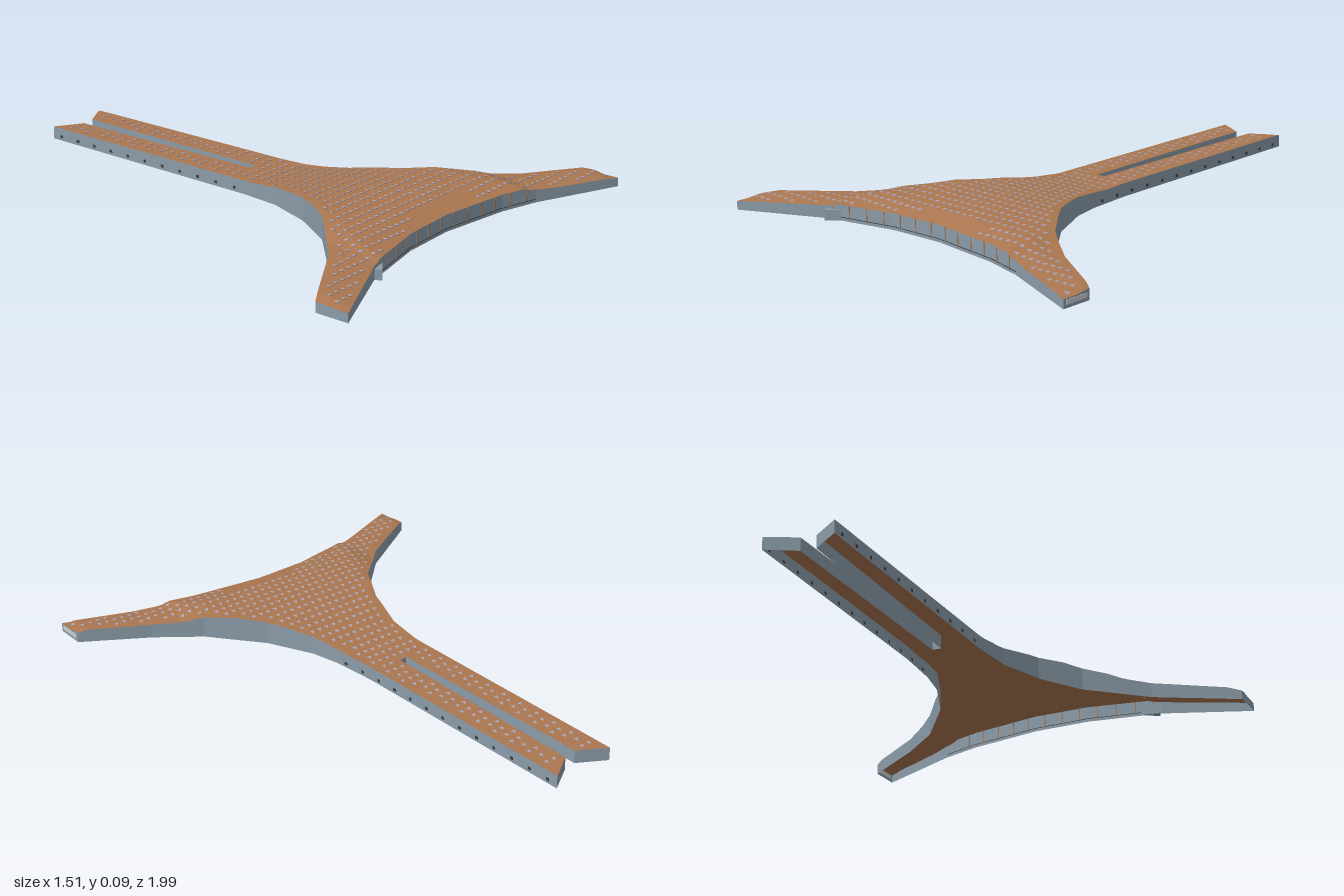
import * as THREE from 'three';
import { mergeGeometries, mergeVertices } from 'three/addons/utils/BufferGeometryUtils.js';

// Plan outline as x, z pairs, clockwise seen from above
const OUTLINE = [
  [-0.34, -0.95], [-0.235, -0.905], [-0.13, -0.10], [-0.10, -0.11], [-0.185, -0.92], [-0.095, -0.995],
  [0.013, -0.10], [0.045, 0.065], [0.08, 0.17], [0.175, 0.325], [0.34, 0.49], [0.50, 0.585],
  [0.74, 0.695], [0.75, 0.805], [0.42, 0.715], [0.27, 0.695], [0, 0.695], [-0.205, 0.73],
  [-0.405, 0.80], [-0.46, 0.82], [-0.745, 0.995], [-0.76, 0.875], [-0.505, 0.67], [-0.34, 0.47],
  [-0.265, 0.30], [-0.23, 0.13], [-0.235, -0.02],
];
const FRONT_FIRST = 13, FRONT_LAST = 20;
const FACADE_EDGES = [14, 15, 16, 17, 18];
const PIER_EDGES = [5, 6, 26];
const END_CAP_EDGE = 12;

// Roof height rules: along z, along x, and the falling front eave
const CREST = [[-1, 0.044], [-0.96, 0.046], [0, 0.049], [0.1, 0.058], [0.25, 0.077], [0.4, 0.087], [0.5, 0.086], [0.6, 0.08], [0.7, 0.071], [1, 0.06]];
const SPAN = [[-0.76, 0.034], [-0.72, 0.045], [-0.5, 0.055], [-0.44, 0.06], [-0.4, 0.073], [-0.3, 0.088],
  [0.25, 0.088], [0.35, 0.075], [0.4, 0.06], [0.5, 0.051], [0.71, 0.047], [0.75, 0.034]];
const EAVE = OUTLINE.slice(FRONT_FIRST, FRONT_LAST + 1).reverse();

function sample(table, t) {
  if (t <= table[0][0]) return table[0][1];
  for (let i = 1; i < table.length; i++) {
    const [a, u] = table[i - 1], [b, v] = table[i];
    if (t <= b) return u + (v - u) * (t - a) / (b - a);
  }
  return table[table.length - 1][1];
}

function roofHeight(x, z) {
  const inset = THREE.MathUtils.clamp((sample(EAVE, x) - z) / 0.09, 0, 1);
  return Math.max(0.031, Math.min(sample(CREST, z), sample(SPAN, x)) - 0.012 * (1 - inset));
}

function fromPositions(list) {
  const g = new THREE.BufferGeometry();
  g.setAttribute('position', new THREE.Float32BufferAttribute(list, 3));
  return g;
}

function flatFromPositions(list) {
  const g = fromPositions(list);
  g.computeVertexNormals();
  return g;
}

// Roof sheet: triangulated plan, subdivided and lifted by the height rule
function roofGeometry() {
  const pts = OUTLINE.map(([x, z]) => new THREE.Vector2(x, z));
  const out = [];
  const split = (a, b, c, n) => {
    if (n === 0) {
      for (const p of [a, b, c]) out.push(p.x, roofHeight(p.x, p.y), p.y);
      return;
    }
    const mid = (p, q) => p.clone().add(q).multiplyScalar(0.5);
    const ab = mid(a, b), bc = mid(b, c), ca = mid(c, a);
    split(a, ab, ca, n - 1);
    split(ab, b, bc, n - 1);
    split(ca, bc, c, n - 1);
    split(ab, bc, ca, n - 1);
  };
  for (const f of THREE.ShapeUtils.triangulateShape(pts, [])) {
    const [a, b, c] = f.map((i) => pts[i]);
    const up = (b.x - a.x) * (c.y - a.y) - (b.y - a.y) * (c.x - a.x) < 0;
    if (up) split(a, b, c, 5); else split(a, c, b, 5);
  }
  const g = mergeVertices(fromPositions(out), 1e-5);
  g.computeVertexNormals();
  return g;
}

// Walls from the ground to the roof edge
function wallGeometry() {
  const out = [], steps = 32;
  OUTLINE.forEach(([ax, az], i) => {
    const [bx, bz] = OUTLINE[(i + 1) % OUTLINE.length];
    for (let k = 0; k < steps; k++) {
      const [x0, x1] = [k, k + 1].map((s) => ax + (bx - ax) * s / steps);
      const [z0, z1] = [k, k + 1].map((s) => az + (bz - az) * s / steps);
      const h0 = roofHeight(x0, z0), h1 = roofHeight(x1, z1);
      out.push(x0, 0, z0, x0, h0, z0, x1, h1, z1, x0, 0, z0, x1, h1, z1, x1, 0, z1);
    }
  });
  return flatFromPositions(out);
}

function insidePlan(x, z) {
  let inside = false;
  OUTLINE.forEach(([ax, az], i) => {
    const [bx, bz] = OUTLINE[(i + 1) % OUTLINE.length];
    if ((az > z) !== (bz > z) && x < ax + (bx - ax) * (z - az) / (bz - az)) inside = !inside;
  });
  return inside;
}

function edgeDistance(x, z) {
  return Math.min(...OUTLINE.map(([ax, az], i) => {
    const [bx, bz] = OUTLINE[(i + 1) % OUTLINE.length];
    const dx = bx - ax, dz = bz - az;
    const t = THREE.MathUtils.clamp(((x - ax) * dx + (z - az) * dz) / (dx * dx + dz * dz), 0, 1);
    return Math.hypot(x - ax - dx * t, z - az - dz * t);
  }));
}

// Small triangular glass skylights in slanted, staggered rows, raised at the front
function skylightGeometry() {
  const out = [], turn = -0.11;
  for (let i = -40; i <= 40; i++) {
    for (let j = -40; j <= 40; j++) {
      const u = (i + (j % 2 ? 0.5 : 0)) * 0.031, v = j * 0.04;
      const x = u * Math.cos(turn) - v * Math.sin(turn), z = u * Math.sin(turn) + v * Math.cos(turn);
      if (!insidePlan(x, z) || edgeDistance(x, z) < 0.022) continue;
      if (x > -0.13 && x < 0.17 && z > 0.62) continue;
      const at = (dx, dz, lift) => [x + dx, roofHeight(x + dx, z + dz) + lift, z + dz];
      const tip = at(0, -0.008, 0.0008);
      const left = at(-0.009, 0.007, 0.003), right = at(0.009, 0.007, 0.003);
      const leftFoot = at(-0.009, 0.007, 0), rightFoot = at(0.009, 0.007, 0);
      out.push(...tip, ...left, ...right);
      out.push(...leftFoot, ...rightFoot, ...right, ...leftFoot, ...right, ...left);
    }
  }
  return flatFromPositions(out);
}

// Places thin plates at even spacing on the outside of a wall edge
function platesOnEdge(i, spacing, shape) {
  const [ax, az] = OUTLINE[i], [bx, bz] = OUTLINE[(i + 1) % OUTLINE.length];
  const dx = bx - ax, dz = bz - az, length = Math.hypot(dx, dz);
  const count = Math.max(1, Math.round(length / spacing)), plates = [];
  for (let k = 0; k < count; k++) {
    const t = (k + 0.5) / count, x = ax + dx * t, z = az + dz * t;
    const { w, y, h } = shape(x, z, length);
    const g = new THREE.BoxGeometry(w, h, 0.002);
    g.rotateY(Math.atan2(-dz, dx));
    g.translate(x + dz / length * 0.0005, y, z - dx / length * 0.0005);
    plates.push(g);
  }
  return plates;
}

export function createModel() {
  const material = (name, color, side = THREE.FrontSide) => {
    const m = new THREE.MeshStandardMaterial({ color, side });
    m.name = name;
    return m;
  };
  const roofBrown = material('roofBrown', 0xaa764f, THREE.DoubleSide);
  const wallGrey = material('wallBlueGrey', 0x8a9ba8, THREE.DoubleSide);
  const glass = material('skylightGlass', 0xaaa5ba, THREE.DoubleSide);
  const dark = material('darkOpening', 0x3a3f47);
  const pale = material('paleDoor', 0xc9cdd0);

  const model = new THREE.Group();
  model.name = 'terminalBuilding';
  const add = (name, geometry, mat) => {
    const mesh = new THREE.Mesh(geometry, mat);
    mesh.name = name;
    model.add(mesh);
  };

  add('roof', roofGeometry(), roofBrown);
  add('walls', wallGeometry(), wallGrey);
  add('skylights', skylightGeometry(), glass);

  // Doors along the piers and a wide pale door on the left wing's end
  const doors = PIER_EDGES.flatMap((i) => platesOnEdge(i, 0.085, () => ({ w: 0.012, y: 0.015, h: 0.01 })));
  add('gateDoors', mergeGeometries(doors), dark);
  const endDoor = platesOnEdge(END_CAP_EDGE, 1, (x, z, length) => ({ w: length * 0.8, y: 0.019, h: 0.016 }));
  add('endDoor', mergeGeometries(endDoor), pale);

  // Posts and a thin sill along the middle of the front facade
  const posts = FACADE_EDGES.flatMap((i) => platesOnEdge(i, 0.068, (x, z) => {
    const h = roofHeight(x, z) - 0.008;
    return { w: 0.004, y: 0.008 + h / 2, h };
  }));
  add('facadePosts', mergeGeometries(posts), roofBrown);
  const sill = FACADE_EDGES.slice(0, 4).flatMap((i) => platesOnEdge(i, 1, (x, z, length) => ({ w: length, y: 0.012, h: 0.002 })));
  add('facadeSill', mergeGeometries(sill), dark);

  // Small wedge-shaped porch on the front of the right wing
  const wedge = new THREE.Shape([[-0.46, -0.815], [-0.445, -0.84], [-0.395, -0.79]].map(([x, y]) => new THREE.Vector2(x, y)));
  const porch = new THREE.ExtrudeGeometry(wedge, { depth: 0.036, bevelEnabled: false });
  porch.rotateX(-Math.PI / 2);
  add('porch', porch, wallGrey);
  return model;
}
